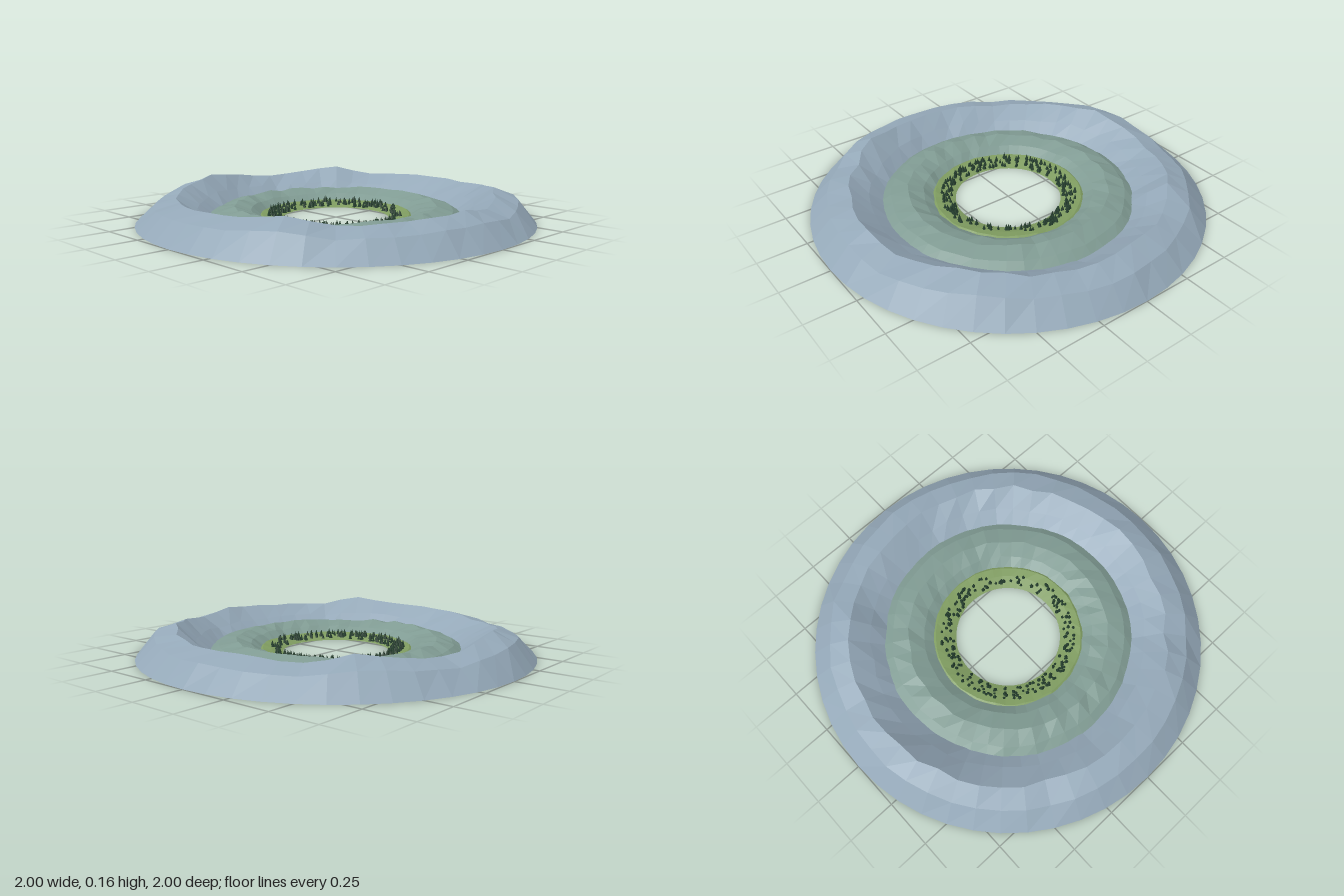
import * as THREE from 'three';
import { mergeGeometries } from 'three/addons/utils/BufferGeometryUtils.js';

const SEGMENTS = 48;

function makeRandom(seed) {
  return () => {
    seed = (seed * 1664525 + 1013904223) % 4294967296;
    return seed / 4294967296;
  };
}

// Crest heights of the mountains, every 15 degrees from +x towards +z
const CREST = [0.13, 0.125, 0.135, 0.157, 0.14, 0.115, 0.142, 0.13, 0.125, 0.12, 0.16, 0.135,
  0.13, 0.125, 0.112, 0.12, 0.14, 0.164, 0.14, 0.112, 0.13, 0.155, 0.115, 0.125];

function crestAt(turn) {
  const t = turn * CREST.length;
  const i = Math.floor(t);
  return THREE.MathUtils.lerp(CREST[i % CREST.length], CREST[(i + 1) % CREST.length], t - i);
}

// Closed ring of terrain. Rows are [radius, height, radial jitter, height jitter], outermost first.
function terrainRing(name, rows, material, seed, heightScale = () => 1) {
  const random = makeRandom(seed);
  const positions = [];
  const index = [];
  for (const [radius, height, dr, dy] of rows) {
    for (let i = 0; i < SEGMENTS; i++) {
      const angle = (i / SEGMENTS) * Math.PI * 2;
      const r = radius + (random() * 2 - 1) * dr;
      const y = height * heightScale(i / SEGMENTS) + (random() * 2 - 1) * dy;
      positions.push(Math.cos(angle) * r, Math.max(0, y), Math.sin(angle) * r);
    }
  }
  for (let row = 0; row < rows.length - 1; row++) {
    for (let i = 0; i < SEGMENTS; i++) {
      const next = (i + 1) % SEGMENTS;
      const a = row * SEGMENTS + i, b = row * SEGMENTS + next;
      const c = a + SEGMENTS, d = b + SEGMENTS;
      index.push(a, c, b, b, c, d);
    }
  }
  const indexed = new THREE.BufferGeometry();
  indexed.setAttribute('position', new THREE.Float32BufferAttribute(positions, 3));
  indexed.setIndex(index);
  const geometry = indexed.toNonIndexed();
  geometry.computeVertexNormals();
  const mesh = new THREE.Mesh(geometry, material);
  mesh.name = name;
  return mesh;
}

// Tiny cone trees scattered over the meadow
function forest(material) {
  const random = makeRandom(77);
  const trees = [];
  for (let i = 0; i < 230; i++) {
    const angle = random() * Math.PI * 2;
    const r = 0.282 + random() * 0.063;
    const size = 0.8 + random() * 0.4;
    const height = 0.03 * size;
    const ground = THREE.MathUtils.mapLinear(r, 0.27, 0.33, 0, 0.018);
    const cone = new THREE.ConeGeometry(0.0095 * size, height, 5);
    cone.rotateY(random() * Math.PI);
    cone.translate(Math.cos(angle) * r, Math.min(ground, 0.02) + height / 2, Math.sin(angle) * r);
    trees.push(cone);
  }
  const mesh = new THREE.Mesh(mergeGeometries(trees), material);
  mesh.name = 'trees';
  return mesh;
}

export function createModel() {
  const paint = (name, color) => new THREE.MeshStandardMaterial({
    name, color, flatShading: true, side: THREE.DoubleSide,
  });
  const rock = paint('blue grey rock', 0x94a8b8);
  const hill = paint('grey green hill', 0x809b93);
  const grass = paint('meadow green', 0x7f9c60);
  const pine = paint('dark pine', 0x26402f);

  const group = new THREE.Group();
  group.name = 'mountainRing';

  // Outer mountains: heights are relative to the crest
  group.add(terrainRing('outerMountains', [
    [1.0, 0, 0, 0],
    [0.905, 0.74, 0.006, 0.005],
    [0.795, 1, 0.012, 0.003],
    [0.7, 0.54, 0.008, 0.008],
    [0.61, 0.07, 0, 0.002],
  ], rock, 11, crestAt));

  // Middle hills, overlapping the mountains' foot
  group.add(terrainRing('middleHills', [
    [0.665, 0.008, 0, 0.001],
    [0.595, 0.052, 0.005, 0.004],
    [0.51, 0.075, 0.007, 0.008],
    [0.43, 0.05, 0.005, 0.006],
    [0.365, 0.01, 0, 0.002],
  ], hill, 23));

  // Inner meadow around the hole
  group.add(terrainRing('innerMeadow', [
    [0.41, 0.006, 0, 0.001],
    [0.375, 0.026, 0.003, 0.003],
    [0.33, 0.019, 0.003, 0.002],
    [0.27, 0, 0, 0],
  ], grass, 41));

  group.add(forest(pine));
  return group;
}
